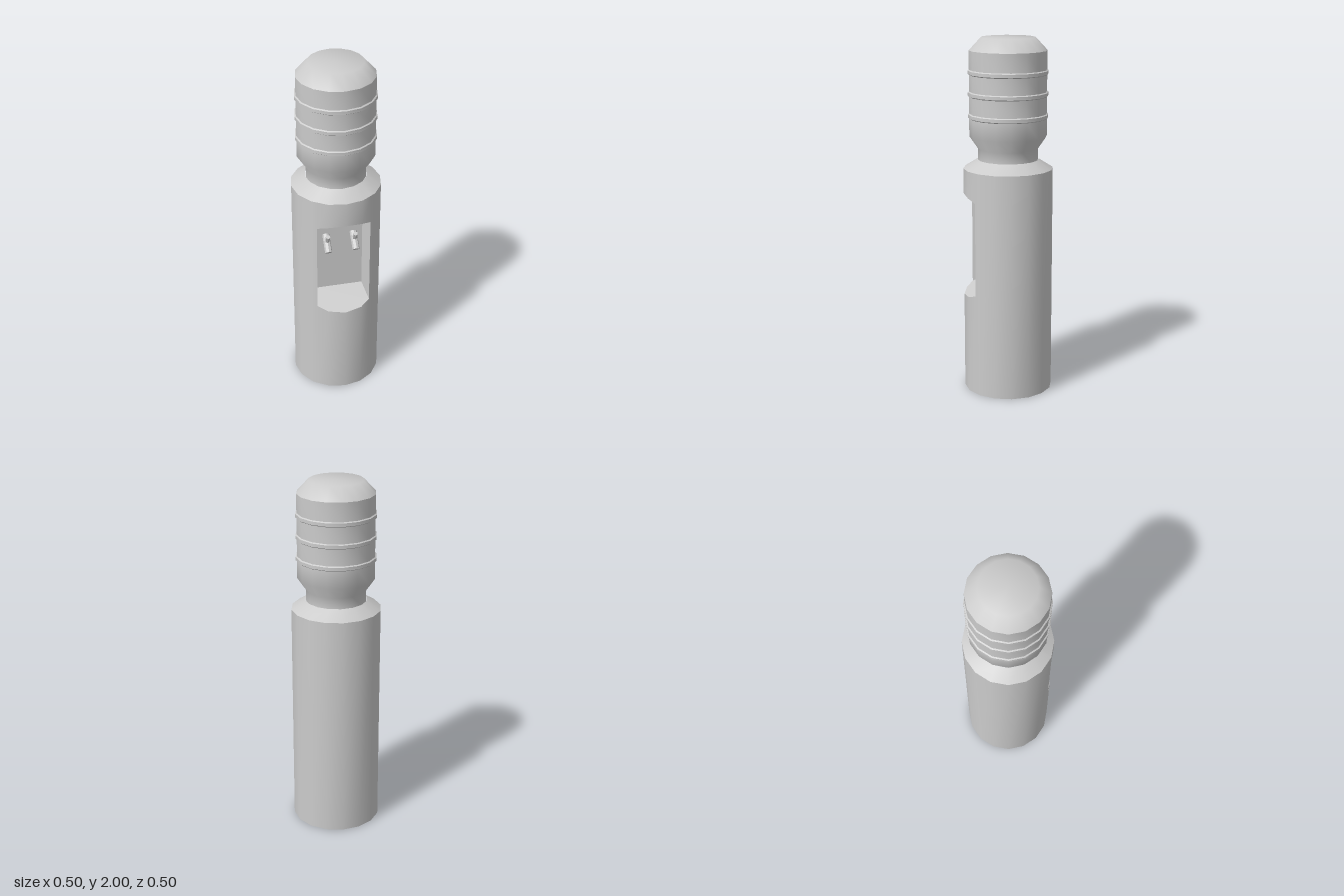
import * as THREE from 'three';
import { toCreasedNormals } from 'three/addons/utils/BufferGeometryUtils.js';

const SIDES = 16, R = 0.25, WALL_TOP = 1.28;
const CREASE = 0.7;
const NICHE = { x: 0.15, backX: 0.13, backZ: 0.093, low: 0.55, high: 1.14, slope: 0.54 };

const material = new THREE.MeshStandardMaterial({ color: 0xcccccc });

function mesh(name, geometry) {
  const m = new THREE.Mesh(geometry, material);
  m.name = name;
  return m;
}

// Collects flat convex polygons into one geometry with creased normals
function fromPolygons(polygons) {
  const pos = [];
  for (const p of polygons) {
    for (let i = 1; i < p.length - 1; i++) pos.push(...p[0], ...p[i], ...p[i + 1]);
  }
  const g = new THREE.BufferGeometry();
  g.setAttribute('position', new THREE.Float32BufferAttribute(pos, 3));
  return toCreasedNormals(g, CREASE);
}

function lathe(points) {
  return new THREE.LatheGeometry(points.map(([r, y]) => new THREE.Vector2(r, y)), SIDES);
}

// Outline of the cabinet, with extra columns where the niche cuts the facets
function cabinetColumns() {
  const cols = [];
  for (let i = -SIDES / 2; i < SIDES / 2; i++) {
    const a = (i / SIDES) * Math.PI * 2;
    cols.push([R * Math.sin(a), R * Math.cos(a)]);
  }
  const step = Math.PI * 2 / SIDES;
  const [x1, z1, x2, z2] = [R * Math.sin(step), R * Math.cos(step), R * Math.sin(2 * step), R * Math.cos(2 * step)];
  const z = z1 + (z2 - z1) * (NICHE.x - x1) / (x2 - x1);
  const mid = SIDES / 2;
  cols.splice(mid + 2, 0, [NICHE.x, z]);
  cols.splice(mid - 1, 0, [-NICHE.x, z]);
  return cols;
}

const floorY = z => NICHE.low + NICHE.slope * (R - z);
const ceilY = z => NICHE.high - NICHE.slope * (R - z);

function cabinet() {
  const cols = cabinetColumns();
  const polys = [];
  const k = 0.17 / R;
  const band = (a, b, a0, a1, b0, b1) => polys.push([
    [a[0], a0, a[1]], [b[0], b0, b[1]], [b[0], b1, b[1]], [a[0], a1, a[1]],
  ]);
  const inNiche = c => c[1] > 0 && Math.abs(c[0]) <= NICHE.x + 1e-6;

  cols.forEach((a, i) => {
    const b = cols[(i + 1) % cols.length];
    // Outer wall, left open at the niche
    if (inNiche(a) && inNiche(b)) {
      band(a, b, 0, floorY(a[1]), 0, floorY(b[1]));
      band(a, b, ceilY(a[1]), WALL_TOP, ceilY(b[1]), WALL_TOP);
    } else {
      band(a, b, 0, WALL_TOP, 0, WALL_TOP);
    }
    // Shoulder and underside
    polys.push([
      [a[0], WALL_TOP, a[1]], [b[0], WALL_TOP, b[1]],
      [b[0] * k, 1.33, b[1] * k], [a[0] * k, 1.33, a[1] * k],
    ]);
    polys.push([[0, 0, 0], [b[0], 0, b[1]], [a[0], 0, a[1]]]);
  });

  // Niche: sloping floor and ceiling, back and side walls
  const { backX, backZ } = NICHE;
  const rim = [[-backX, backZ], ...cols.filter(inNiche), [backX, backZ]];
  const floor = rim.map(([x, z]) => [x, floorY(z), z]);
  const ceiling = rim.map(([x, z]) => [x, ceilY(z), z]);
  const n = rim.length;
  polys.push(floor, [...ceiling].reverse());
  polys.push([floor[0], floor[n - 1], ceiling[n - 1], ceiling[0]]);
  polys.push([floor[1], floor[0], ceiling[0], ceiling[1]]);
  polys.push([floor[n - 1], floor[n - 2], ceiling[n - 2], ceiling[n - 1]]);
  return mesh('cabinet', fromPolygons(polys));
}

// Straight rod between two points in the x = 0 plane, given as [y, z]
function rod(name, from, to, r0, r1, sides) {
  const a = new THREE.Vector3(0, ...from), b = new THREE.Vector3(0, ...to);
  const dir = b.clone().sub(a);
  const g = new THREE.CylinderGeometry(r1, r0, dir.length(), sides);
  const m = mesh(name, toCreasedNormals(g, CREASE));
  m.position.copy(a).add(b).multiplyScalar(0.5);
  m.quaternion.setFromUnitVectors(new THREE.Vector3(0, 1, 0), dir.normalize());
  return m;
}

function tap(name, x) {
  const g = new THREE.Group();
  g.name = name;
  g.add(rod('spout', [0.995, 0.09], [0.92, 0.165], 0.02, 0.02, 8));
  g.add(rod('lever', [0.965, 0.125], [1.015, 0.15], 0.013, 0.013, 6));
  g.position.x = x;
  return g;
}

function bottle() {
  const g = new THREE.Group();
  g.name = 'bottle';
  // Neck and body with three raised ribs
  const profile = [[0.167, 1.325], [0.167, 1.39], [0.215, 1.46]];
  for (const y of [1.572, 1.693, 1.812]) {
    profile.push([0.215, y - 0.014], [0.222, y - 0.009], [0.222, y + 0.009], [0.215, y + 0.014]);
  }
  profile.push([0.215, 1.93]);
  g.add(mesh('bottleBody', toCreasedNormals(lathe(profile), CREASE)));
  // Smoothly shaded top
  g.add(mesh('bottleTop', lathe([[0.215, 1.93], [0.15, 2], [0, 2]])));
  return g;
}

export function createModel() {
  const model = new THREE.Group();
  model.name = 'waterCooler';
  model.add(cabinet(), bottle(), tap('leftTap', 0.078), tap('rightTap', -0.078));
  return model;
}
